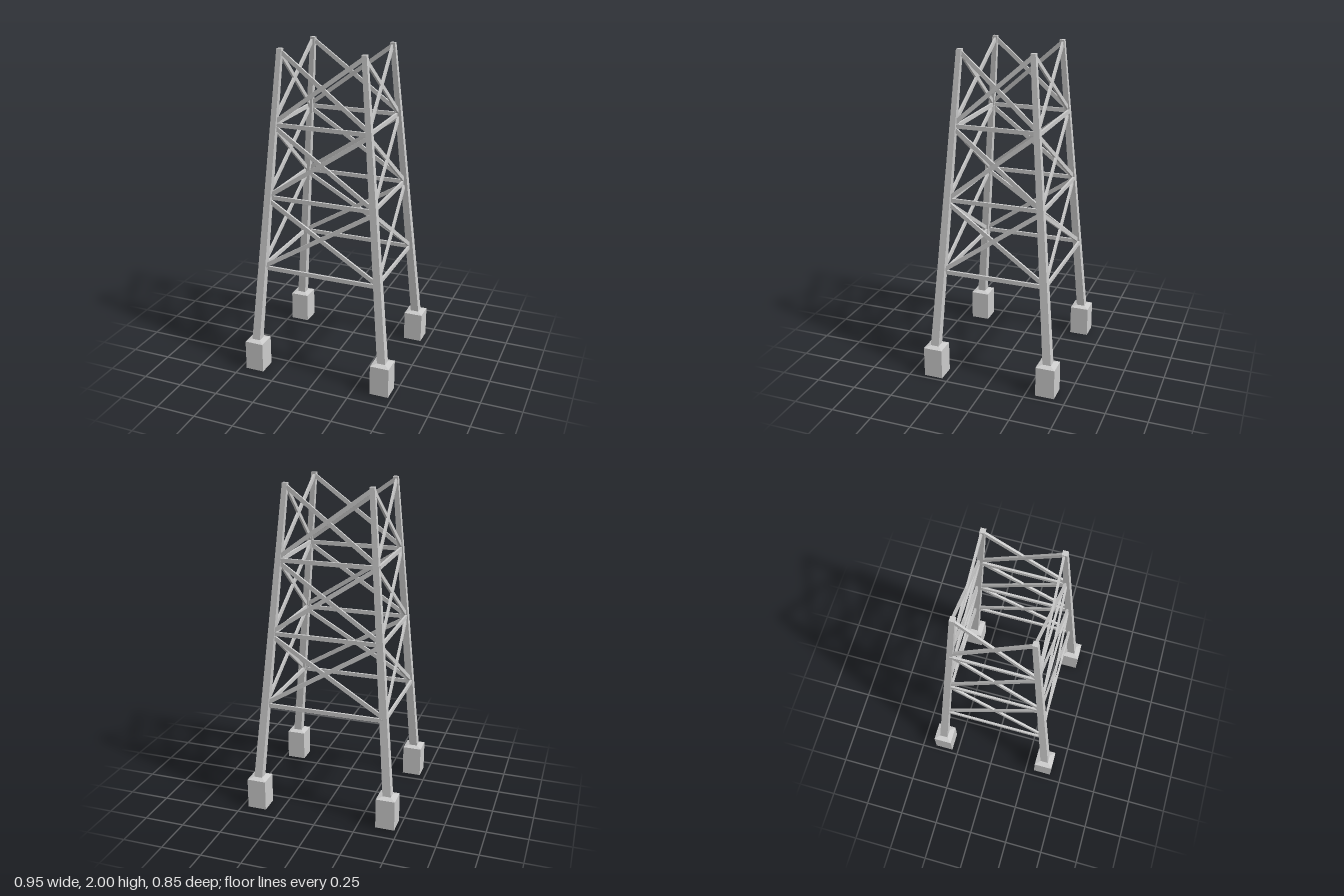
import * as THREE from 'three';

const material = new THREE.MeshStandardMaterial({ color: 0xcccccc, flatShading: true });
const LEG_BASE = 0.2, HEIGHT = 2;

// Leg centres [x, z] at the foot and at the top, in order around the tower
const legs = [
  { foot: [-0.405, 0.366], top: [-0.278, 0.21] },
  { foot: [0.417, 0.348], top: [0.24, 0.227] },
  { foot: [0.402, -0.37], top: [0.252, -0.215] },
  { foot: [-0.418, -0.35], top: [-0.262, -0.222] },
];

const legPoint = ({ foot, top }, y) => {
  const t = (y - LEG_BASE) / (HEIGHT - LEG_BASE);
  return new THREE.Vector3(
    THREE.MathUtils.lerp(foot[0], top[0], t), y, THREE.MathUtils.lerp(foot[1], top[1], t));
};

// Square column whose lower and upper ends have their own centre and width
function taperedColumn(name, a, wa, b, wb) {
  const geometry = new THREE.BoxGeometry(1, 1, 1);
  const p = geometry.attributes.position;
  for (let i = 0; i < p.count; i++) {
    const [c, w] = p.getY(i) > 0 ? [b, wb] : [a, wa];
    p.setXYZ(i, c.x + p.getX(i) * w, c.y, c.z + p.getZ(i) * w);
  }
  geometry.computeVertexNormals();
  const mesh = new THREE.Mesh(geometry, material);
  mesh.name = name;
  return mesh;
}

// Flat bar from a to b, its thin side facing outward
function flatBar(name, a, b, outward) {
  const along = b.clone().sub(a);
  const length = along.length();
  along.normalize();
  const normal = outward.clone().addScaledVector(along, -outward.dot(along)).normalize();
  const across = normal.clone().cross(along);
  const mesh = new THREE.Mesh(new THREE.BoxGeometry(length, 0.025, 0.013), material);
  mesh.quaternion.setFromRotationMatrix(new THREE.Matrix4().makeBasis(along, across, normal));
  mesh.position.copy(a).add(b).multiplyScalar(0.5);
  mesh.name = name;
  return mesh;
}

export function createModel() {
  const tower = new THREE.Group();
  tower.name = 'latticeTower';

  // Legs on footing blocks with a low sloped cap
  for (const leg of legs) {
    const at = (y) => new THREE.Vector3(leg.foot[0], y, leg.foot[1]);
    tower.add(
      taperedColumn('footing', at(0), 0.117, at(0.19), 0.117),
      taperedColumn('footingCap', at(0.19), 0.117, at(0.2), 0.052),
      taperedColumn('leg', at(LEG_BASE), 0.052, legPoint(leg, HEIGHT), 0.03));
  }

  // Bracing: a horizontal bar and a crossed pair per level on each face
  const outwards = [[0, 0, 1], [1, 0, 0], [0, 0, -1], [-1, 0, 0]].map((v) => new THREE.Vector3(...v));
  const levels = [[0.67, 0.68, 1.105], [1.12, 1.13, 1.55], [1.56, 1.575, 1.985]];
  legs.forEach((a, i) => {
    const b = legs[(i + 1) % 4];
    const out = outwards[i];
    const face = new THREE.Group();
    face.name = ['frontBracing', 'leftBracing', 'backBracing', 'rightBracing'][i];
    for (const [bar, low, high] of levels) {
      // Horizontal bars run square to the face
      const p = legPoint(a, bar), q = legPoint(b, bar);
      const axis = out.x ? 'x' : 'z';
      p[axis] = q[axis] = (p[axis] + q[axis]) / 2 - 0.01;
      face.add(
        flatBar('horizontalBrace', p, q, out),
        flatBar('diagonalBrace', legPoint(a, low), legPoint(b, high), out),
        flatBar('diagonalBrace', legPoint(a, high), legPoint(b, low), out));
    }
    // Diagonals sit slightly off the leg centres
    for (const m of face.children) {
      if (m.name === 'diagonalBrace') m.position[out.x ? 'x' : 'z'] -= 0.004;
    }
    tower.add(face);
  });

  return tower;
}
